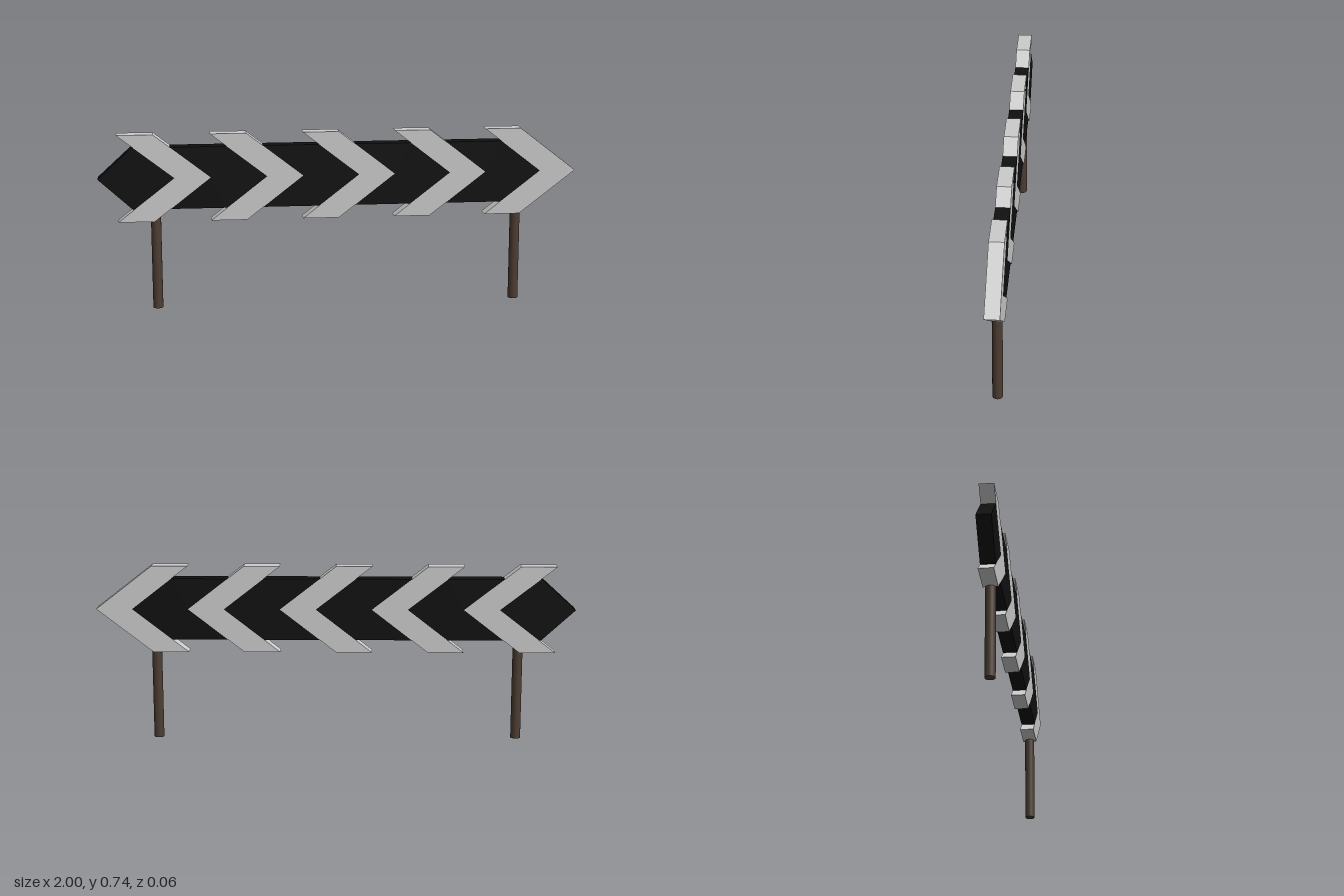
import * as THREE from 'three';

const DEPTH = 0.06;
const MID = 0.56;        // height of the arrow axis
const HALF = 0.183;      // half height of a chevron
const BAND = 0.13;       // half height of the dark band
const RUN = 0.235;       // how far a chevron arm leans forward
const WIDTH = 0.15;      // chevron width along x
const STEP = 0.3838;     // spacing of chevrons
const COUNT = 5;
const START = -0.92;     // rear corner of the first chevron

export function createModel() {
  const group = new THREE.Group();
  const grey = new THREE.MeshStandardMaterial({ color: 0xcccccc });
  const black = new THREE.MeshStandardMaterial({ color: 0x101010 });
  const brown = new THREE.MeshStandardMaterial({ color: 0x4c3d32 });

  const add = (name, geometry, material) => {
    const mesh = new THREE.Mesh(geometry, material);
    mesh.name = name;
    group.add(mesh);
    return mesh;
  };

  // Flat plate, centred on z, from points [x, y] relative to the arrow axis
  const plate = (points) => {
    const shape = new THREE.Shape(points.map(([x, y]) => new THREE.Vector2(x, y)));
    return new THREE.ExtrudeGeometry(shape, { depth: DEPTH, bevelEnabled: false })
      .translate(0, MID, -DEPTH / 2);
  };

  // Where a chevron arm crosses the edge of the dark band
  const lean = RUN * (1 - BAND / HALF);

  for (let i = 0; i < COUNT; i++) {
    const x = START + i * STEP;

    // Chevron pointing to +x
    add('chevron' + (i + 1), plate([
      [x, -HALF], [x + WIDTH, -HALF], [x + WIDTH + RUN, 0],
      [x + WIDTH, HALF], [x, HALF], [x + RUN, 0],
    ]), grey);

    // Dark panel filling the notch behind the chevron
    const right = [[x + lean, -BAND], [x + RUN, 0], [x + lean, BAND]];
    const prev = x - STEP + WIDTH;
    const left = i === 0
      ? [[-0.858, BAND], [-1, 0], [-0.858, -BAND]]
      : [[prev + lean, BAND], [prev + RUN, 0], [prev + lean, -BAND]];
    add(i === 0 ? 'tailPanel' : 'darkPanel' + i, plate([...right, ...left]), black);
  }

  // Round posts, set into the end chevrons
  const postHeight = 0.42;
  for (const [name, x] of [['rightPost', -0.765], ['leftPost', 0.753]]) {
    const post = add(name, new THREE.CylinderGeometry(0.021, 0.021, postHeight, 24), brown);
    post.position.set(x, postHeight / 2, 0);
  }

  return group;
}
